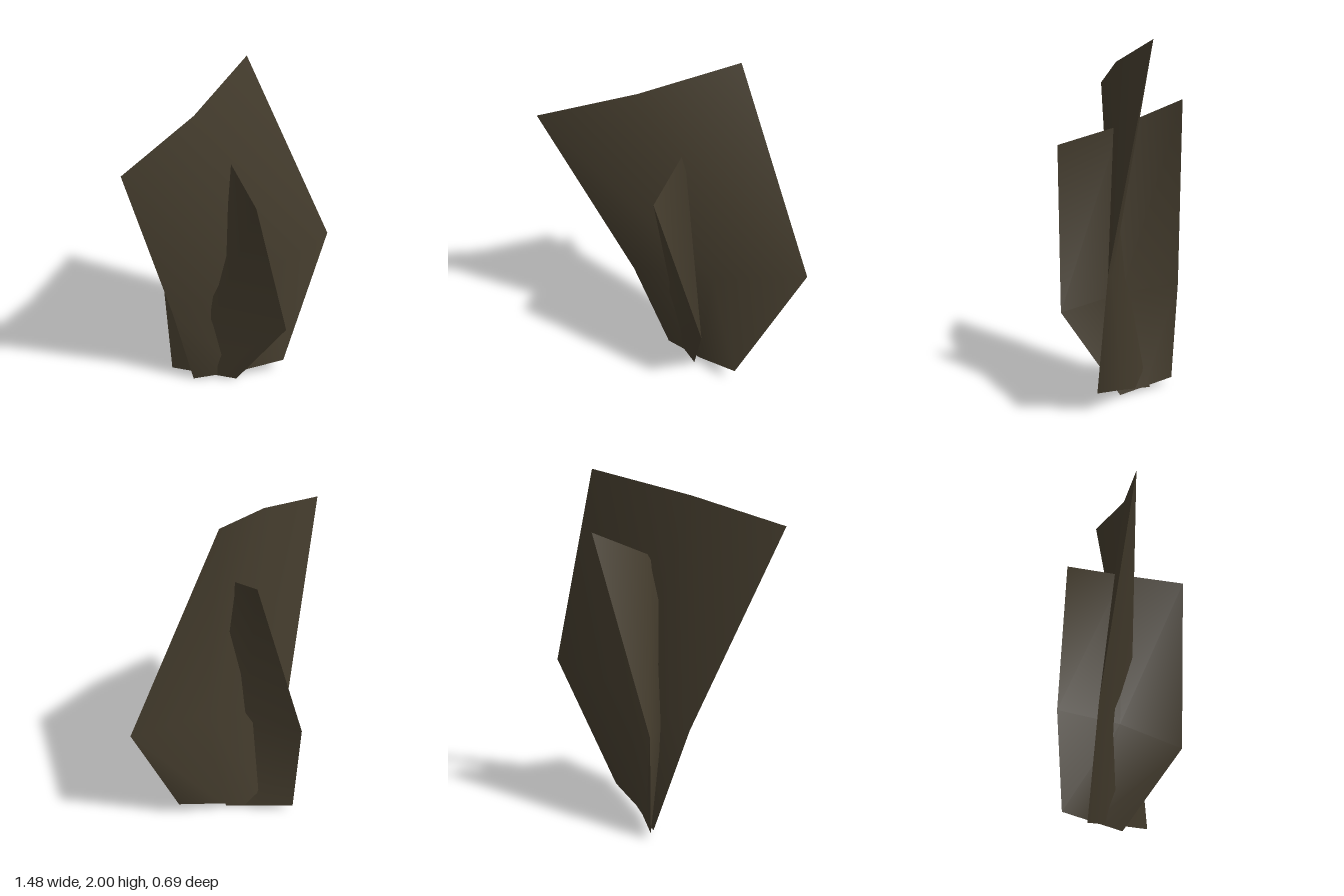
import * as THREE from 'three';

// One face of a leaf through rows of points, top row first.
// The reverse face is wound the other way and splits its quads along the other diagonal.
function leafFace(rows, reverse, material, name) {
  const cols = rows[0].length;
  const index = [];
  for (let r = 0; r < rows.length - 1; r++) {
    for (let c = 0; c < cols - 1; c++) {
      const a = r * cols + c, b = a + 1, d = a + cols, e = d + 1;
      if (reverse) index.push(a, b, d, b, e, d);
      else index.push(a, d, e, a, e, b);
    }
  }
  const geometry = new THREE.BufferGeometry();
  geometry.setAttribute('position', new THREE.Float32BufferAttribute(rows.flat(2), 3));
  geometry.setIndex(index);
  geometry.computeVertexNormals();
  const mesh = new THREE.Mesh(geometry, material);
  mesh.name = name;
  return mesh;
}

// A leaf has two faces sharing the same points
function leaf(rows, material, name) {
  const group = new THREE.Group();
  group.name = name;
  group.add(
    leafFace(rows, false, material, name + 'Front'),
    leafFace(rows, true, material, name + 'Back'),
  );
  return group;
}

export function createModel() {
  const brown = new THREE.MeshStandardMaterial({ color: 0x443c2d, side: THREE.DoubleSide });
  brown.name = 'dark olive brown';

  const group = new THREE.Group();
  group.name = 'crossedLeaves';

  // Wide leaf, spread from side to side and bowed forward along its middle
  group.add(leaf([
    [[-0.74, 1.73, 0.135], [-0.22, 1.868, 0.025], [0.285, 2.0, -0.19]],
    [[-0.3, 0.6, -0.1], [0.2, 0.715, 0.03], [0.735, 0.83, 0.03]],
    [[-0.11, 0.0, -0.175], [0.125, 0.05, -0.015], [0.36, 0.1, 0.105]],
  ], brown, 'wideLeaf'));

  // Narrow twisted leaf, spread from back to front
  group.add(leaf([
    [[0.17, 1.68, -0.347], [0.025, 1.525, -0.005], [-0.057, 1.41, 0.347]],
    [[-0.2, 0.6, -0.335], [-0.055, 0.565, -0.01], [0.2, 0.51, 0.313]],
    [[-0.18, 0.04, -0.3], [-0.045, 0.025, -0.155], [0.09, 0.01, -0.01]],
  ], brown, 'crossLeaf'));

  return group;
}
